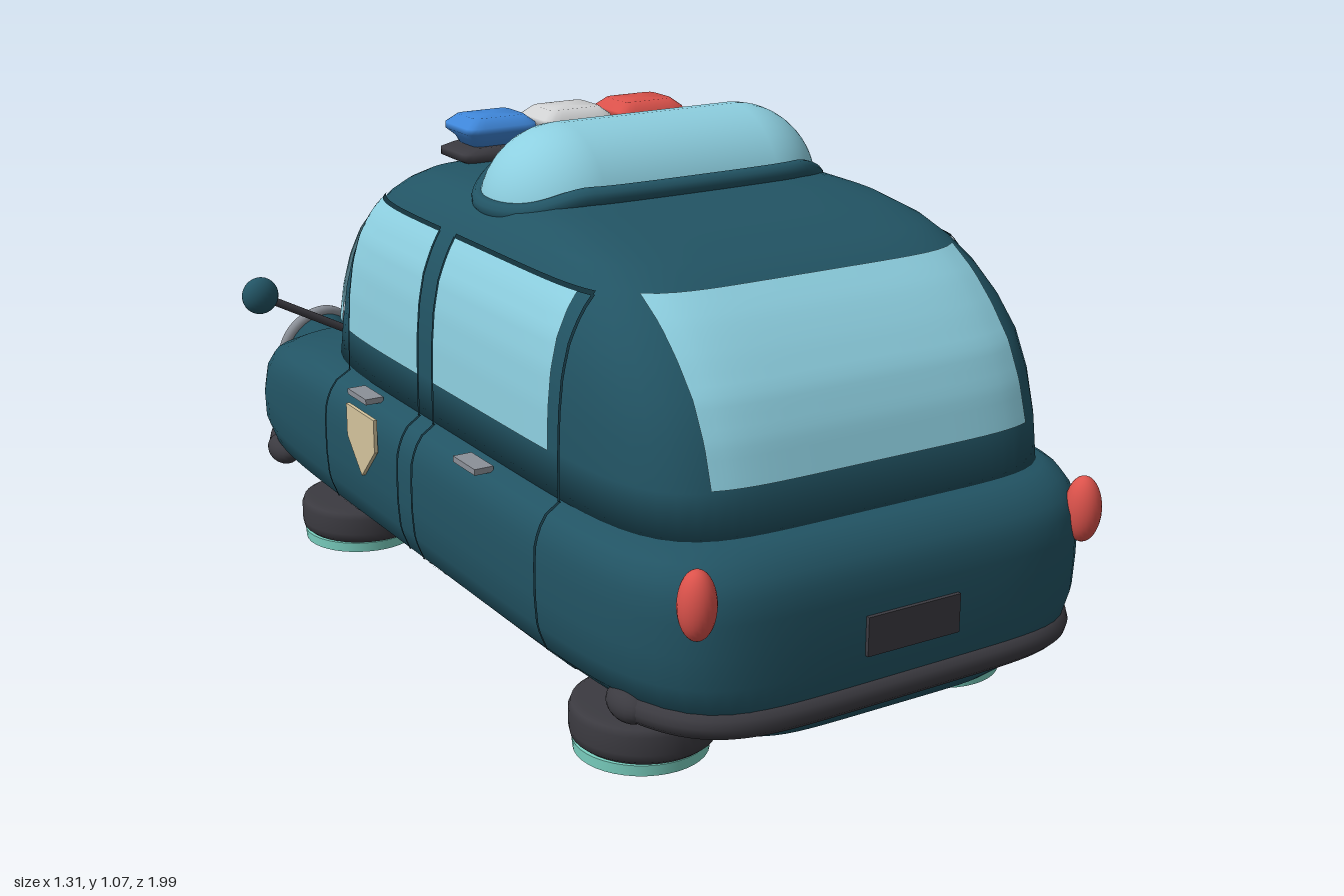
import * as THREE from 'three';

const mat = (name, color, side = THREE.FrontSide) => {
  const m = new THREE.MeshStandardMaterial({ color, side });
  m.name = name;
  return m;
};

// Cross-section levels, bottom to top: [y, half width, nose z, tail z]
const BODY = [
  [0.085, 0.25, -0.8, 0.8], [0.11, 0.37, -0.9, 0.93], [0.15, 0.45, -0.94, 0.97],
  [0.2, 0.505, -0.96, 0.985], [0.25, 0.525, -0.962, 0.99], [0.31, 0.53, -0.955, 0.99],
  [0.37, 0.53, -0.93, 0.99], [0.41, 0.528, -0.885, 0.985], [0.44, 0.52, -0.81, 0.972],
  [0.465, 0.505, -0.7, 0.95], [0.485, 0.475, -0.6, 0.92], [0.495, 0.4, -0.5, 0.85],
];
const CABIN = [
  [0.48, 0.475, -0.585, 0.9], [0.57, 0.475, -0.56, 0.885], [0.65, 0.473, -0.535, 0.86],
  [0.72, 0.467, -0.503, 0.825], [0.78, 0.455, -0.467, 0.775], [0.83, 0.435, -0.432, 0.725],
  [0.87, 0.412, -0.393, 0.67], [0.9, 0.39, -0.345, 0.605], [0.925, 0.36, -0.29, 0.5],
  [0.94, 0.31, -0.22, 0.38], [0.95, 0.2, -0.1, 0.25],
];
const POWER = 6;

// Superellipse ring point on one level
function ringPoint([y, w, zf, zb], a, n = POWER) {
  const c = Math.cos(a), s = Math.sin(a);
  const r = 1 / Math.pow(Math.abs(c) ** n + Math.abs(s) ** n, 1 / n);
  return [w * c * r, y, (zf + zb) / 2 + ((zb - zf) / 2) * s * r];
}

// Closed skin through stacked superellipse levels
function loft(levels, n = POWER, seg = 128) {
  const pos = [], idx = [];
  for (const l of levels)
    for (let i = 0; i < seg; i++) pos.push(...ringPoint(l, (i / seg) * Math.PI * 2, n));
  const last = (levels.length - 1) * seg, bottom = levels.length * seg, top = bottom + 1;
  for (const l of [levels[0], levels[levels.length - 1]]) pos.push(0, l[0], (l[2] + l[3]) / 2);
  for (let i = 0; i < seg; i++) {
    const j = (i + 1) % seg;
    for (let r = 0; r < last; r += seg)
      idx.push(r + i, r + seg + i, r + j, r + j, r + seg + i, r + seg + j);
    idx.push(bottom, i, j, top, last + j, last + i);
  }
  const g = new THREE.BufferGeometry();
  g.setAttribute('position', new THREE.Float32BufferAttribute(pos, 3));
  g.setIndex(idx);
  g.computeVertexNormals();
  return g;
}

// Level interpolated at height y
function levelAt(levels, y) {
  let k = 0;
  while (k < levels.length - 2 && levels[k + 1][0] < y) k++;
  const t = (y - levels[k][0]) / (levels[k + 1][0] - levels[k][0]);
  return levels[k].map((v, i) => v + (levels[k + 1][i] - v) * t);
}
const bulge = (t) => Math.pow(Math.max(0, 1 - Math.abs(t) ** POWER), 1 / POWER);
function sideX(levels, z, y) {
  const [, w, zf, zb] = levelAt(levels, y);
  return w * bulge((z - (zf + zb) / 2) / ((zb - zf) / 2));
}
function endZ(levels, x, y, s) {
  const [, w, zf, zb] = levelAt(levels, y);
  return (zf + zb) / 2 + (s * (zb - zf) / 2) * bulge(x / w);
}

// Thin sheet from a rule f(u, v) -> [x, y, z], u and v in 0..1
function sheet(f, nu = 24, nv = 18) {
  const g = new THREE.PlaneGeometry(1, 1, nu, nv), p = g.attributes.position;
  for (let i = 0; i < p.count; i++) p.setXYZ(i, ...f(p.getX(i) + 0.5, p.getY(i) + 0.5));
  g.computeVertexNormals();
  return g;
}
const lerp = THREE.MathUtils.lerp;
const sidePanel = (levels, s, z0, z1, y0, y1, off = 0.006) => sheet((u, v) => {
  const y = lerp(y0, y1, v), z = s > 0 ? lerp(z1, z0, u) : lerp(z0, z1, u);
  return [s * (sideX(levels, z, y) + off), y, z];
});
const endPanel = (s, w, y0, y1) => sheet((u, v) => {
  const y = lerp(y0, y1, v), x = s * lerp(-w, w, u);
  return [x, y, endZ(CABIN, x, y, s) + s * 0.006];
});

export function createModel() {
  const car = new THREE.Group();
  car.name = 'patrolCar';
  const paint = mat('teal paint', 0x225464);
  const seam = mat('seam', 0x12303a, THREE.DoubleSide);
  const glass = mat('glass', 0x8dcfe0, THREE.DoubleSide);
  const rubber = mat('dark trim', 0x3b3a40);
  const chrome = mat('chrome', 0x8b9098);
  const cream = mat('cream', 0xd3c39c, THREE.DoubleSide);
  const red = mat('red', 0xdb524b);
  const blue = mat('blue', 0x3f87da);
  const white = mat('white', 0xd2d3d4);
  const aqua = mat('aqua', 0x7cd3c3);

  const add = (name, geo, material, x = 0, y = 0, z = 0, parent = car) => {
    const m = new THREE.Mesh(geo, material);
    m.name = name;
    m.position.set(x, y, z);
    parent.add(m);
    return m;
  };

  // Shell
  add('lowerBody', loft(BODY), paint);
  add('cabin', loft(CABIN), paint);
  add('rearWindow', endPanel(1, 0.35, 0.575, 0.87), glass);
  add('windshield', endPanel(-1, 0.35, 0.575, 0.855), glass);

  // Roof bubble and its rim
  const bubble = add('roofBubble', new THREE.CapsuleGeometry(0.17, 0.4, 16, 40), glass, 0, 0.9, 0.11);
  bubble.rotation.z = Math.PI / 2;
  const rim = [];
  for (let i = 0; i < 64; i++) {
    const a = (i / 64) * Math.PI * 2;
    const x = 0.19 * Math.cos(a) + 0.175 * Math.tanh(6 * Math.cos(a));
    rim.push(new THREE.Vector3(x, 0.958 - 0.04 * THREE.MathUtils.smoothstep(Math.abs(x), 0.24, 0.37),
      0.11 + 0.18 * Math.sin(a)));
  }
  add('bubbleRim', new THREE.TubeGeometry(new THREE.CatmullRomCurve3(rim, true), 128, 0.019, 10, true), paint);

  // Light bar
  add('lightBarBase', loft([[0.935, 0.255, -0.06, 0.06], [0.945, 0.275, -0.07, 0.07],
    [0.96, 0.275, -0.07, 0.07], [0.97, 0.25, -0.055, 0.055]], 10, 64), rubber, 0, 0, -0.235);
  [[-0.182, blue, 'blueLight'], [0, white, 'whiteLight'], [0.182, red, 'redLight']].forEach(([x, m, name]) =>
    add(name, loft([[0.965, 0.055, -0.04, 0.04], [0.985, 0.065, -0.05, 0.05], [1.0, 0.082, -0.065, 0.065],
      [1.012, 0.082, -0.065, 0.065], [1.03, 0.06, -0.045, 0.045]], 8, 48), m, x, 0, -0.235));

  // Bumpers wrap round both ends
  for (const s of [1, -1]) {
    const pts = [];
    for (let i = 0; i <= 40; i++) {
      const a = s * lerp(Math.PI * 0.225, Math.PI * 0.775, i / 40);
      const [x, y, z] = ringPoint([0.18, 0.492, -0.95, 0.972], a);
      pts.push(new THREE.Vector3(x, y + 0.005 * Math.cos(a), z));
    }
    const name = s > 0 ? 'rearBumper' : 'frontBumper';
    add(name, new THREE.TubeGeometry(new THREE.CatmullRomCurve3(pts), 80, 0.028, 12), rubber);
    for (const p of [pts[0], pts[40]]) {
      const end = add(name + 'End', new THREE.SphereGeometry(0.034, 20, 14), rubber, p.x, p.y, p.z);
      end.scale.z = 1.6;
    }
  }

  // Nose grille, tail plate, hood chevron
  add('grille', new THREE.BoxGeometry(0.22, 0.07, 0.02), rubber, 0, 0.275, -0.966);
  for (let i = -1; i <= 1; i++)
    add('grilleBar', new THREE.BoxGeometry(0.2, 0.008, 0.008), chrome, 0, 0.275 + i * 0.02, -0.977);
  add('tailPlate', new THREE.BoxGeometry(0.205, 0.075, 0.016), rubber, 0, 0.297, 0.99);
  const chevron = new THREE.Group();
  chevron.name = 'hoodChevron';
  chevron.position.set(0, 0.482, -0.855);
  chevron.rotation.x = -0.3;
  car.add(chevron);

  // Badge outline, drawn in z and y
  const badge = new THREE.Shape([[-0.067, 0.07], [0.067, 0.07], [0.067, 0], [0, -0.07], [-0.067, 0]]
    .map(([x, y]) => new THREE.Vector2(x, y)));
  const badgeGeo = new THREE.ExtrudeGeometry(badge, { depth: 0.008, bevelEnabled: false });
  badgeGeo.translate(0, 0, -0.004);
  const tireGeo = new THREE.LatheGeometry([[0, 0.02], [0.125, 0.02], [0.137, 0.03], [0.14, 0.045],
    [0.14, 0.08], [0.135, 0.093], [0.122, 0.1], [0, 0.1]].map(([r, y]) => new THREE.Vector2(r, y)), 40);

  // Everything mirrored left and right
  for (const s of [1, -1]) {
    add('rearDoorWindow', sidePanel(CABIN, s, 0.07, 0.53, 0.57, 0.86), glass);
    add('frontDoorWindow', sidePanel(CABIN, s, -0.35, 0, 0.57, 0.86), glass);
    add('quarterWindow', sheet((u, v) => {
      const y = lerp(0.575, 0.82, v), front = lerp(-0.495, -0.425, v * v);
      const z = s > 0 ? lerp(-0.4, front, u) : lerp(front, -0.4, u);
      return [s * (sideX(CABIN, z, y) + 0.008), y, z];
    }), glass);

    // Door seams
    for (const [z0, z1] of [[0.07, 0.57], [-0.35, 0.005]]) {
      for (const z of [z0, z1]) {
        add('doorSeam', sidePanel(BODY, s, z - 0.004, z + 0.004, 0.145, 0.485, 0.004), seam);
        add('doorSeam', sidePanel(CABIN, s, z - 0.004, z + 0.004, 0.485, 0.86, 0.007), seam);
      }
      add('doorSeam', sidePanel(BODY, s, z0, z1, 0.141, 0.149, 0.004), seam);
      add('doorSeam', sidePanel(CABIN, s, z0, z1, 0.858, 0.866, 0.007), seam);
    }
    for (const z of [0.295, -0.19])
      add('doorHandle', new THREE.BoxGeometry(0.04, 0.012, 0.09), chrome, s * 0.51, 0.477, z);
    add('doorBadge', badgeGeo, cream, s * 0.535, 0.385, -0.158).rotation.y = s * Math.PI / 2;

    // Flat hover wheels
    for (const z of [0.64, -0.6]) {
      add('wheel', tireGeo, rubber, s * 0.343, 0, z);
      add('hoverPad', new THREE.CylinderGeometry(0.13, 0.128, 0.022, 40), aqua, s * 0.348, 0.011, z);
    }

    // Headlights tilt up and outward
    const lamp = new THREE.Group();
    lamp.name = 'headlight';
    lamp.position.set(s * 0.3, 0.365, -0.945);
    lamp.rotation.set(0.3, -s * 0.15, 0);
    car.add(lamp);
    add('lens', new THREE.SphereGeometry(0.086, 32, 20), cream, 0, 0, 0, lamp).scale.z = 0.4;
    add('lampRing', new THREE.TorusGeometry(0.088, 0.014, 12, 40), chrome, 0, 0, 0.004, lamp);
    const shell = add('lampShell', new THREE.CylinderGeometry(0.09, 0.075, 0.06, 32), paint, 0, 0, 0.035, lamp);
    shell.rotation.x = -Math.PI / 2;

    add('bumperGuard', new THREE.CapsuleGeometry(0.022, 0.12, 6, 16), rubber, s * 0.2, 0.225, -0.965);
    add('tailLight', new THREE.SphereGeometry(0.035, 24, 18), red, s * 0.43, 0.415, 0.95).scale.y = 1.85;

    // Wing mirror on its stalk
    add('mirror', new THREE.SphereGeometry(0.04, 24, 16), paint, s * 0.613, 0.635, -0.49).scale.z = 0.75;
    const stalk = new THREE.LineCurve3(new THREE.Vector3(s * 0.43, 0.54, -0.465), new THREE.Vector3(s * 0.595, 0.625, -0.49));
    add('mirrorStalk', new THREE.TubeGeometry(stalk, 1, 0.009, 10), rubber);

    const arm = add('chevronArm', new THREE.BoxGeometry(0.108, 0.012, 0.02), cream, s * 0.046, 0, 0, chevron);
    arm.rotation.y = -s * 0.46;
  }
  return car;
}
